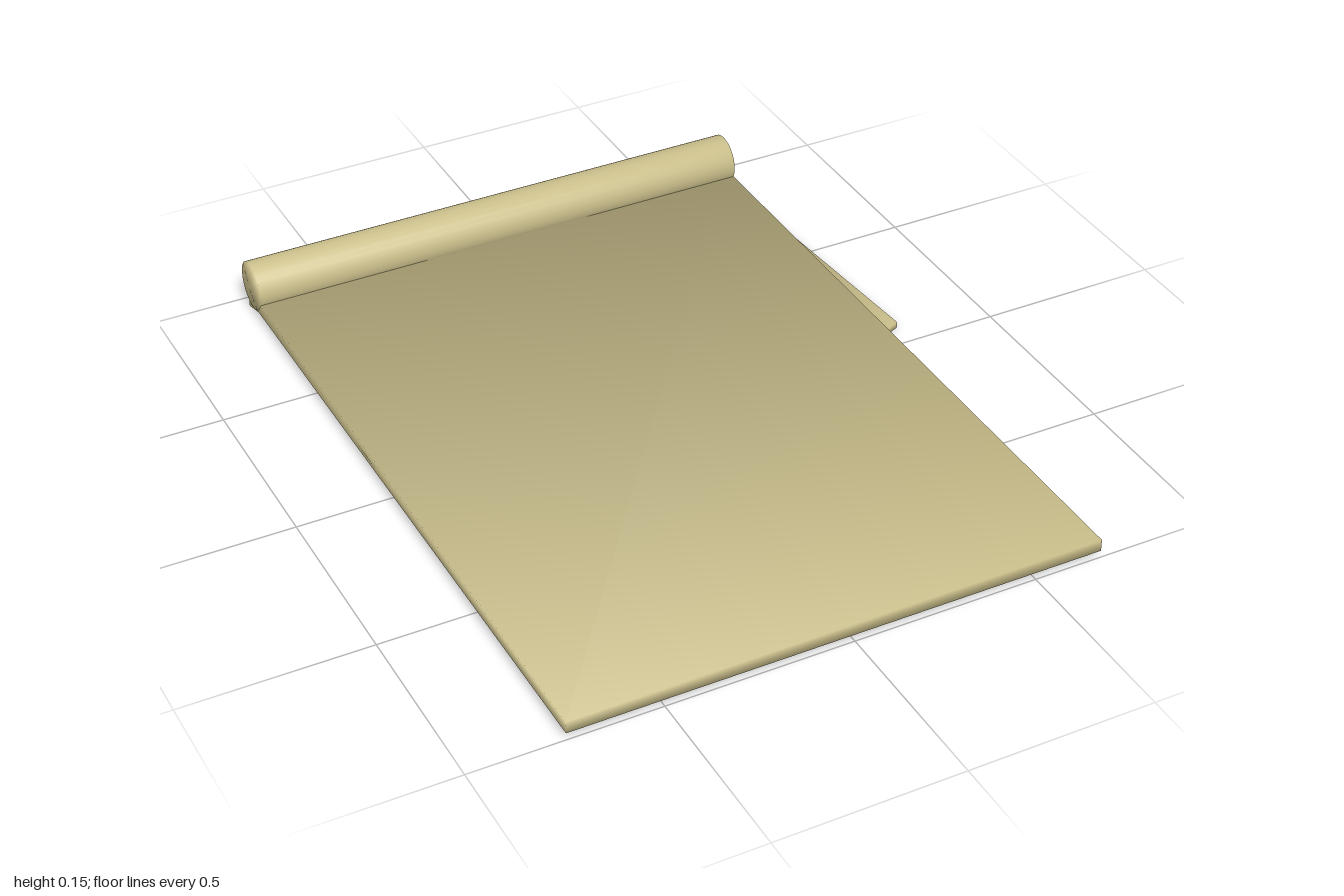
import * as THREE from 'three';
import { mergeVertices } from 'three/addons/utils/BufferGeometryUtils.js';

// Thin sheet with shared, soft corner normals.
// corners: [x, z] for back -x, back +x, front -x, front +x
function sheetGeometry(corners, bottom, top) {
  let geo = new THREE.BoxGeometry(2, 2, 2);
  geo.deleteAttribute('normal');
  geo.deleteAttribute('uv');
  geo = mergeVertices(geo);
  const pos = geo.attributes.position;
  const normals = [];
  const n = new THREE.Vector3();
  for (let i = 0; i < pos.count; i++) {
    n.fromBufferAttribute(pos, i);
    const [x, z] = corners[(n.z > 0 ? 2 : 0) + (n.x > 0 ? 1 : 0)];
    pos.setXYZ(i, x, n.y > 0 ? top : bottom, z);
    n.normalize();
    normals.push(n.x, n.y, n.z);
  }
  geo.setAttribute('normal', new THREE.Float32BufferAttribute(normals, 3));
  return geo;
}

// Closed cylinder along x whose rims are shaded softly into the ends.
function rollGeometry(radius, length) {
  let geo = new THREE.CylinderGeometry(radius, radius, length, 28);
  geo.rotateZ(-Math.PI / 2);
  geo.deleteAttribute('normal');
  geo.deleteAttribute('uv');
  geo = mergeVertices(geo);
  const pos = geo.attributes.position;
  const normals = [];
  const n = new THREE.Vector3();
  for (let i = 0; i < pos.count; i++) {
    n.fromBufferAttribute(pos, i);
    n.set(Math.sign(n.x) * 0.5, n.y / radius, n.z / radius).normalize();
    normals.push(n.x, n.y, n.z);
  }
  geo.setAttribute('normal', new THREE.Float32BufferAttribute(normals, 3));
  return geo;
}

export function createModel() {
  const group = new THREE.Group();
  group.name = 'paperScroll';
  const paper = new THREE.MeshStandardMaterial({ color: 0xd0c48f });
  paper.name = 'parchment';

  const add = (name, geo) => {
    const mesh = new THREE.Mesh(geo, paper);
    mesh.name = name;
    group.add(mesh);
    return mesh;
  };

  // Flat upper sheet
  add('upperSheet', sheetGeometry(
    [[-0.75, -0.92], [0.685, -0.92], [-0.75, 1], [0.685, 1]], 0.02, 0.053));

  // Skewed sheet folded underneath
  add('lowerSheet', sheetGeometry(
    [[-0.75, -0.96], [0.68, -0.96], [-0.43, 0.45], [0.75, -0.07]], 0, 0.018));

  // Rolled back edge
  add('rolledEdge', rollGeometry(0.068, 1.435)).position.set(-0.0325, 0.081, -0.932);

  return group;
}
